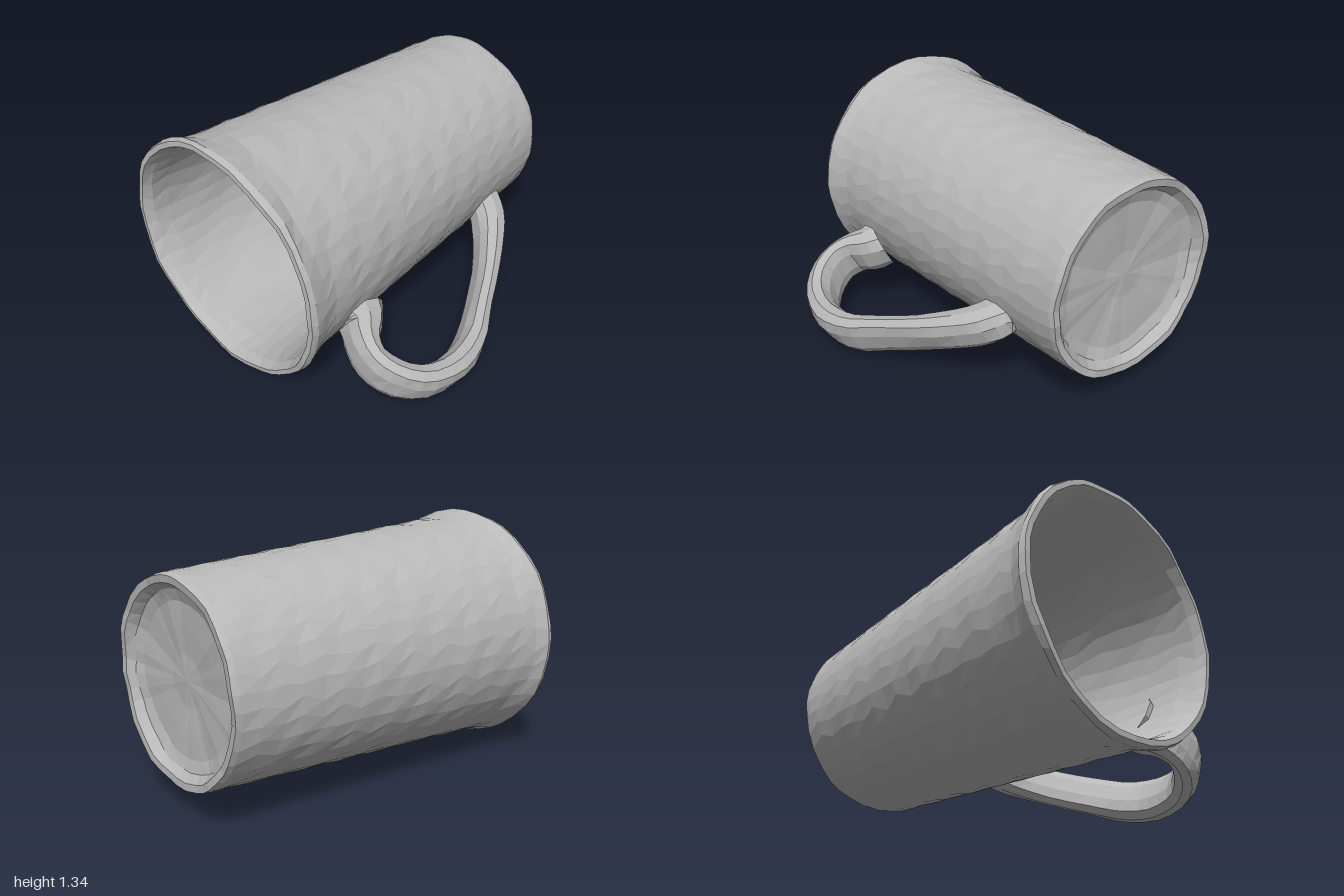
import * as THREE from 'three';

const AXIS_X = -0.205, AXIS_Y = 0.675;

// Smooth deterministic wobble for the hand-hammered surface
const wobble = (a, b, c) => Math.sin(a * 7.1 + b * 31.7 + c) * 0.6 + Math.sin(a * 17 - b * 23.3 + c * 2.3) * 0.4;

// Hollow tankard: one closed profile [radius, z] from the outer base, over the rim, to the inner floor
function makeCup(material) {
  const profile = [[0, -0.905], [0.13, -0.9], [0.27, -0.91], [0.39, -0.915], [0.45, -0.935], [0.485, -0.978], [0.522, -0.982]];
  for (let i = 0; i <= 16; i++) {
    const t = i / 16;
    profile.push([0.53 + 0.099 * t, -0.95 + 1.74 * t]);
  }
  profile.push([0.642, 0.87], [0.668, 0.95], [0.658, 0.98], [0.63, 0.982], [0.608, 0.93]);
  for (let i = 0; i <= 10; i++) {
    const t = i / 10;
    profile.push([0.595 - 0.1 * t, 0.84 - 1.58 * t]);
  }
  profile.push([0.45, -0.835], [0.3, -0.85], [0.15, -0.845], [0, -0.85]);

  const geometry = new THREE.LatheGeometry(profile.map(([r, z]) => new THREE.Vector2(r, z)), 40);
  geometry.rotateX(Math.PI / 2);
  const p = geometry.attributes.position;
  for (let i = 0; i < p.count; i++) {
    const x = p.getX(i), y = p.getY(i), z = p.getZ(i);
    const r = Math.hypot(x, y);
    const a = Math.round(Math.atan2(y, x) / (Math.PI / 20) + 40) % 40;
    const angle = Math.atan2(y, x) + 0.05 * wobble(a, z, 1);
    const radius = r * (1 + 0.006 * wobble(a, z, 4));
    p.setXYZ(i,
      AXIS_X - 0.015 * z + radius * Math.cos(angle),
      AXIS_Y + radius * Math.sin(angle),
      z + 0.009 * wobble(a, z, 2) * Math.min(1, r * 2));
  }
  geometry.computeVertexNormals();
  const cup = new THREE.Mesh(geometry, material);
  cup.name = 'cup';
  return cup;
}

// Handle: flattened oval swept along a loop lying in a plane through the cup's axis; both ends sink into the wall
function makeHandle(material) {
  // [distance from axis, z, half thickness, half width, sideways shift]
  const stations = [
    [0.515, -0.56, 0.12, 0.09, 0.04], [0.60, -0.53, 0.10, 0.105, 0.035], [0.71, -0.43, 0.078, 0.115, 0.025],
    [0.86, -0.23, 0.062, 0.12, 0.01], [1.00, 0.00, 0.062, 0.125, -0.005], [1.095, 0.17, 0.07, 0.132, -0.012],
    [1.126, 0.35, 0.076, 0.138, -0.014], [1.08, 0.54, 0.075, 0.138, -0.01], [0.965, 0.66, 0.066, 0.138, 0],
    [0.84, 0.697, 0.058, 0.138, 0], [0.74, 0.665, 0.075, 0.138, 0], [0.66, 0.595, 0.11, 0.136, 0],
    [0.59, 0.57, 0.14, 0.125, 0]];
  const path = new THREE.CatmullRomCurve3(stations.map(([s, z]) => new THREE.Vector3(s, 0, z)));
  const rings = 28, sides = 10;
  const out = new THREE.Vector2(0.88, -0.475), side = new THREE.Vector2(0.475, 0.88);
  const positions = [], index = [];
  for (let i = 0; i <= rings; i++) {
    const u = i / rings;
    const c = path.getPoint(u), tangent = path.getTangent(u);
    const k = Math.min(u * (stations.length - 1), stations.length - 1.001);
    const lo = stations[Math.floor(k)], hi = stations[Math.floor(k) + 1];
    const [thick, wide, shift] = [2, 3, 4].map(j => THREE.MathUtils.lerp(lo[j], hi[j], k % 1));
    for (let j = 0; j < sides; j++) {
      const a = (j + 0.5) / sides * Math.PI * 2;
      const n = 1 + 0.08 * wobble(i, j, 3);
      // Superellipse keeps the section broad with soft corners
      const ca = Math.sign(Math.cos(a)) * Math.abs(Math.cos(a)) ** 0.8 * thick * n;
      const sa = Math.sign(Math.sin(a)) * Math.abs(Math.sin(a)) ** 0.8 * wide + shift;
      const s = c.x + tangent.z * ca, z = c.z - tangent.x * ca;
      positions.push(AXIS_X + out.x * s + side.x * sa, AXIS_Y + out.y * s + side.y * sa, z);
      if (i < rings) {
        const p = i * sides + j, q = i * sides + (j + 1) % sides;
        index.push(p, q, p + sides, q, q + sides, p + sides);
      }
    }
  }
  const geometry = new THREE.BufferGeometry();
  geometry.setAttribute('position', new THREE.Float32BufferAttribute(positions, 3));
  geometry.setIndex(index);
  geometry.computeVertexNormals();
  const handle = new THREE.Mesh(geometry, material);
  handle.name = 'handle';
  return handle;
}

export function createModel() {
  const pewter = new THREE.MeshStandardMaterial({ color: 0xb8b8b8 });
  pewter.name = 'pewter grey';
  pewter.flatShading = true;
  const model = new THREE.Group();
  model.name = 'tankard';
  model.add(makeCup(pewter), makeHandle(pewter));
  return model;
}
